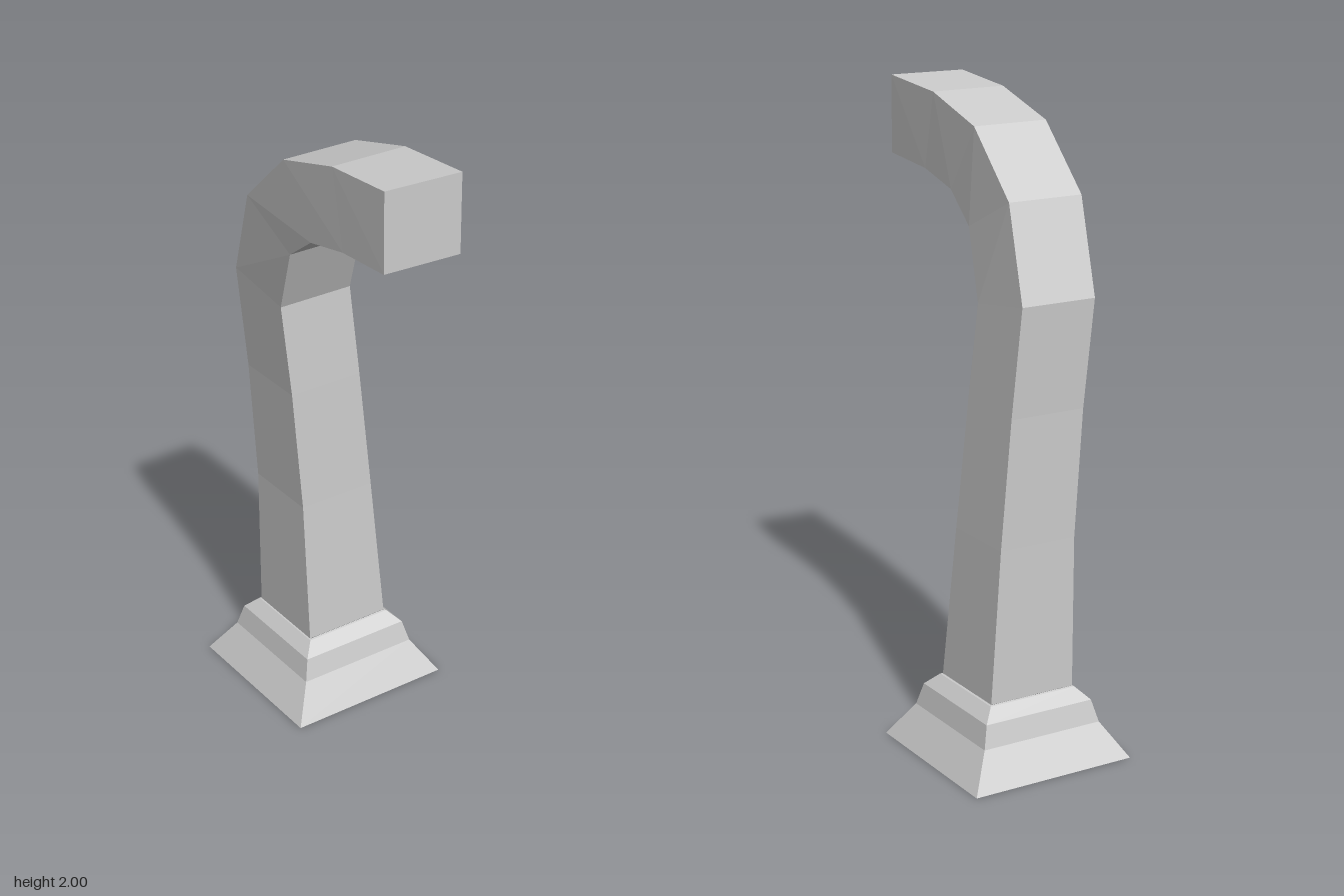
import * as THREE from 'three';

const material = new THREE.MeshStandardMaterial({
  color: 0xcccccc, flatShading: true, side: THREE.DoubleSide,
});

// Skin a list of four-cornered rings; optionally close the last one.
function loft(name, rings, capEnd) {
  const index = [];
  for (let r = 0; r < rings.length - 1; r++) {
    for (let i = 0; i < 4; i++) {
      const j = (i + 1) % 4, a = r * 4, b = a + 4;
      index.push(a + i, a + j, b + j, a + i, b + j, b + i);
    }
  }
  if (capEnd) {
    const e = (rings.length - 1) * 4;
    index.push(e, e + 1, e + 2, e, e + 2, e + 3);
  }
  const indexed = new THREE.BufferGeometry();
  indexed.setAttribute('position', new THREE.Float32BufferAttribute(rings.flat(2), 3));
  indexed.setIndex(index);
  const geometry = indexed.toNonIndexed();
  geometry.computeVertexNormals();
  const mesh = new THREE.Mesh(geometry, material);
  mesh.name = name;
  return mesh;
}

export function createModel() {
  const group = new THREE.Group();
  group.name = 'curvedPost';

  // Stepped square foot, open underneath: [half width, height]
  const cx = -0.207;
  const foot = [[0.275, 0], [0.205, 0.11], [0.187, 0.18], [0.15, 0.218], [0.144, 0.22]]
    .map(([h, y]) => [[cx - h, y, -h], [cx - h, y, h], [cx + h, y, h], [cx + h, y, -h]]);
  group.add(loft('foot', foot, false));

  // Square post leaning forward, then bending over to the left:
  // [outer x, outer y, inner x, inner y, back z, front z]
  const post = [
    [-0.35, 0.22, -0.064, 0.22, -0.144, 0.146],
    [-0.35, 0.70, -0.093, 0.70, -0.112, 0.147],
    [-0.354, 1.10, -0.11, 1.10, -0.08, 0.17],
    [-0.37, 1.435, -0.125, 1.40, -0.055, 0.195],
    [-0.26, 1.72, -0.037, 1.613, -0.033, 0.217],
    [-0.045, 1.91, 0.09, 1.703, -0.02, 0.23],
    [0.21, 1.98, 0.26, 1.74, -0.01, 0.238],
    [0.473, 2.0, 0.473, 1.756, -0.003, 0.246],
  ].map(([ox, oy, ix, iy, zb, zf], k) => {
    const yaw = k === 7 ? 0.007 : 0; // the end face is turned slightly
    return [[ox + yaw, oy, zb], [ox - yaw, oy, zf], [ix - yaw, iy, zf], [ix + yaw, iy, zb]];
  });
  group.add(loft('bentPost', post, true));

  return group;
}
